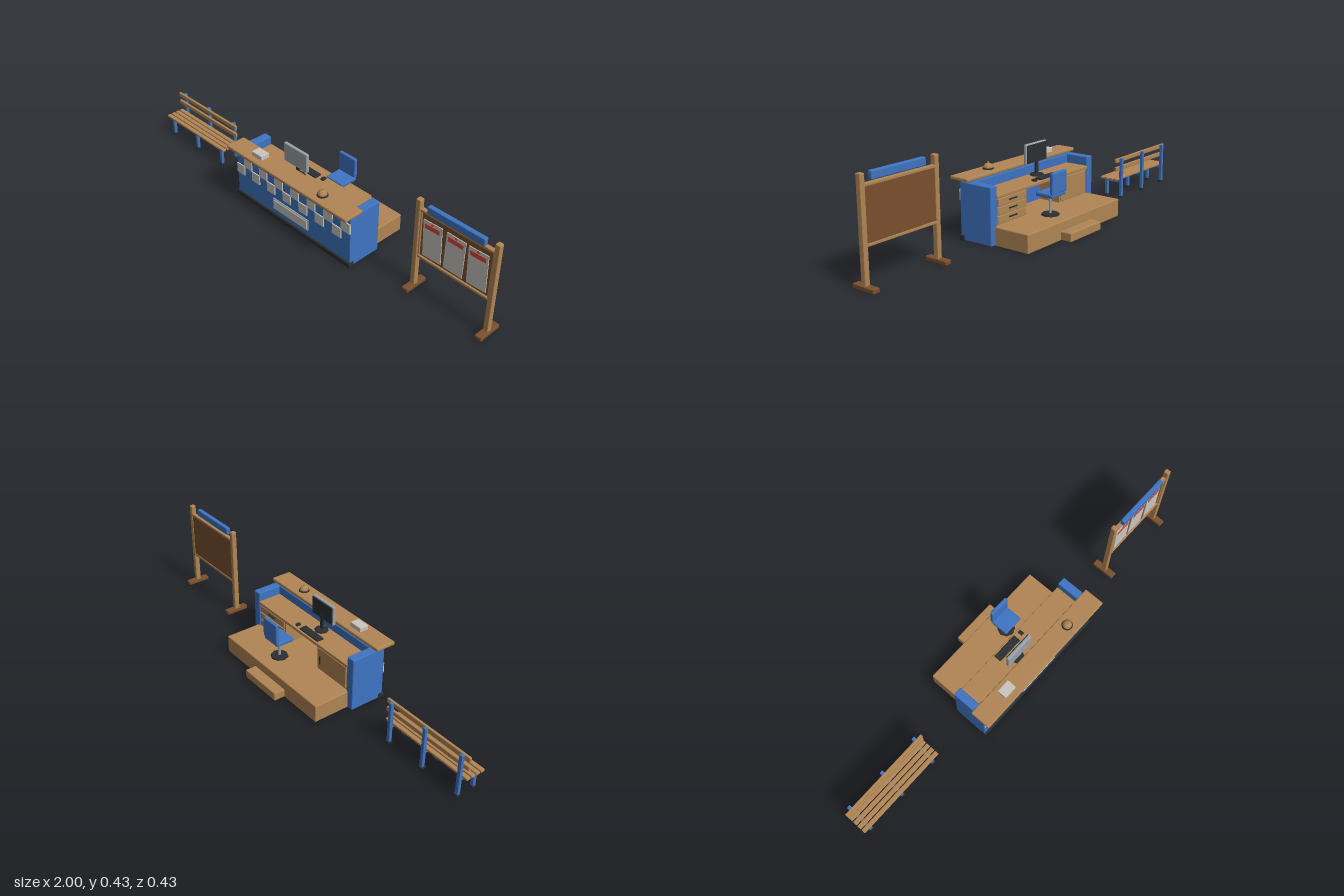
import * as THREE from 'three';
import { RoundedBoxGeometry } from 'three/addons/geometries/RoundedBoxGeometry.js';

const paint = (name, hex) => {
  const m = new THREE.MeshStandardMaterial({ color: hex });
  m.name = name;
  return m;
};

export function createModel() {
  const wood = paint('wood', 0xb08554);
  const darkWood = paint('dark wood', 0x7a4f2e);
  const blue = paint('blue', 0x3f74c2);
  const black = paint('black', 0x2b3033);
  const pale = paint('pale grey', 0xc9c6bf);
  const grey = paint('grey', 0x9ba2a8);
  const red = paint('red', 0xd04a3c);

  const model = new THREE.Group();
  model.name = 'receptionArea';
  const group = (name) => {
    const g = new THREE.Group();
    g.name = name;
    model.add(g);
    return g;
  };
  const put = (parent, name, geometry, material, x, y, z) => {
    const mesh = new THREE.Mesh(geometry, material);
    mesh.name = name;
    mesh.position.set(x, y, z);
    parent.add(mesh);
    return mesh;
  };
  // box with chamfered edges, given by its limits on each axis
  const block = (parent, name, material, [x0, x1], [y0, y1], [z0, z1], bevel = 0.003) => {
    const w = x1 - x0, h = y1 - y0, d = z1 - z0;
    const r = Math.min(bevel, Math.min(w, h, d) * 0.3);
    const geo = r > 0 ? new RoundedBoxGeometry(w, h, d, 1, r) : new THREE.BoxGeometry(w, h, d);
    if (r > 0) geo.computeVertexNormals();
    return put(parent, name, geo, material, (x0 + x1) / 2, (y0 + y1) / 2, (z0 + z1) / 2);
  };
  const disc = (parent, name, material, r0, r1, [y0, y1], x, z, sides) =>
    put(parent, name, new THREE.CylinderGeometry(r1, r0, y1 - y0, sides), material, x, (y0 + y1) / 2, z);

  // ---- counter ----
  const counter = group('counter');
  block(counter, 'frontPanel', blue, [-0.345, 0.367], [0.005, 0.256], [0.12, 0.172]);
  for (const x of [-0.345, 0.327])
    block(counter, 'sidePanel', blue, [x, x + 0.04], [0.005, 0.256], [0.006, 0.171], 0.004);
  block(counter, 'kickPlate', black, [-0.35, 0.372], [0.002, 0.028], [0.15, 0.18], 0.006);
  block(counter, 'counterTop', wood, [-0.36, 0.38], [0.26, 0.277], [0.118, 0.215], 0.005);
  block(counter, 'topSupport', blue, [-0.335, 0.357], [0.25, 0.262], [0.125, 0.168], 0);
  // two rows of checker tiles
  const pitch = 0.0507;
  for (let i = 0; i < 14; i++) {
    const x = -0.343 + i * pitch;
    const y = i % 2 ? 0.176 : 0.128;
    block(counter, 'checkerTile', pale, [x, x + pitch], [y, y + 0.048], [0.17, 0.177], 0);
  }
  block(counter, 'plaqueFrame', grey, [-0.101, 0.121], [0.052, 0.108], [0.171, 0.178], 0.002);
  block(counter, 'plaque', pale, [-0.096, 0.116], [0.057, 0.103], [0.174, 0.181], 0.002);

  // ---- platform and step ----
  const platform = group('platform');
  block(platform, 'floorPlatform', wood, [-0.315, 0.341], [0.003, 0.085], [-0.164, 0.15], 0.004);
  block(platform, 'step', wood, [-0.098, 0.121], [0.004, 0.043], [-0.215, -0.16], 0.004);

  // ---- desk behind the counter ----
  const desk = group('desk');
  block(desk, 'deskTop', wood, [-0.306, 0.328], [0.2, 0.215], [0.004, 0.122]);
  block(desk, 'drawerCabinet', wood, [0.13, 0.327], [0.085, 0.2], [0.012, 0.12], 0);
  block(desk, 'doorCabinet', wood, [-0.305, -0.1], [0.085, 0.2], [0.012, 0.12], 0);
  for (let i = 0; i < 3; i++) {
    const y = 0.09 + i * 0.037;
    block(desk, 'drawerFront', wood, [0.137, 0.32], [y, y + 0.033], [0.006, 0.014], 0.002);
    block(desk, 'drawerHandle', black, [0.203, 0.254], [y + 0.016, y + 0.021], [0.001, 0.007], 0);
  }
  block(desk, 'cabinetDoor', wood, [-0.297, -0.107], [0.09, 0.197], [0.006, 0.014], 0.002);
  block(desk, 'doorHandle', black, [-0.13, -0.124], [0.12, 0.16], [0.001, 0.007], 0);

  // ---- computer ----
  const computer = group('computer');
  disc(computer, 'monitorBase', black, 0.032, 0.03, [0.215, 0.222], -0.034, 0.085, 8);
  block(computer, 'monitorNeck', black, [-0.042, -0.026], [0.22, 0.3], [0.083, 0.092], 0);
  block(computer, 'monitorShell', grey, [-0.107, 0.036], [0.27, 0.361], [0.088, 0.103], 0.004);
  block(computer, 'screen', black, [-0.102, 0.031], [0.275, 0.356], [0.084, 0.09], 0.001);
  block(computer, 'keyboard', black, [-0.098, 0.029], [0.214, 0.222], [0.012, 0.047], 0.002);
  block(computer, 'mouse', black, [0.05, 0.066], [0.214, 0.224], [0.015, 0.038], 0.003);

  // ---- things on the counter ----
  const items = group('counterItems');
  block(items, 'paperStack', pale, [-0.222, -0.158], [0.276, 0.298], [0.142, 0.186], 0.002);
  disc(items, 'bellBase', black, 0.025, 0.023, [0.276, 0.283], 0.198, 0.165, 16);
  const dome = new THREE.SphereGeometry(0.021, 16, 6, 0, Math.PI * 2, 0, Math.PI / 2);
  put(items, 'bellDome', dome, wood, 0.198, 0.282, 0.165);
  disc(items, 'bellButton', wood, 0.003, 0.003, [0.3, 0.309], 0.198, 0.165, 8);

  // ---- office chair ----
  const chair = group('chair');
  disc(chair, 'chairBase', black, 0.04, 0.038, [0.085, 0.093], 0.069, -0.068, 8);
  disc(chair, 'chairPost', grey, 0.006, 0.006, [0.09, 0.175], 0.069, -0.068, 8);
  block(chair, 'chairSeat', blue, [0.02, 0.118], [0.172, 0.19], [-0.113, -0.026], 0.005);
  block(chair, 'chairBack', blue, [0.02, 0.118], [0.188, 0.283], [-0.118, -0.102], 0.005);

  // ---- slatted bench ----
  const bench = group('bench');
  for (const x of [-0.967, -0.777, -0.587]) {
    const w = [x - 0.008, x + 0.008];
    block(bench, 'rearPost', blue, w, [0.005, 0.198], [-0.009, 0.006], 0.002);
    block(bench, 'frontLeg', blue, w, [0.005, 0.09], [0.073, 0.088], 0.002);
    block(bench, 'seatBearer', blue, w, [0.077, 0.09], [0, 0.088], 0);
    for (const z of [-0.0015, 0.0805])
      block(bench, 'foot', black, [x - 0.011, x + 0.011], [0.001, 0.01], [z - 0.011, z + 0.011], 0.002);
  }
  for (const y of [0.136, 0.177])
    block(bench, 'backSlat', wood, [-1, -0.553], [y, y + 0.021], [0.005, 0.017], 0.003);
  for (let i = 0; i < 4; i++) {
    const z = 0.004 + i * 0.0245;
    block(bench, 'seatSlat', wood, [-1, -0.553], [0.089, 0.101], [z, z + 0.02], 0.003);
  }

  // ---- notice board ----
  const board = group('noticeBoard');
  for (const x of [0.618, 0.983]) {
    block(board, 'boardPost', wood, [x - 0.011, x + 0.011], [0.015, 0.434], [0.05, 0.074]);
    block(board, 'boardFoot', darkWood, [x - 0.016, x + 0.016], [0.002, 0.021], [0.005, 0.117], 0.004);
  }
  block(board, 'backPanel', darkWood, [0.625, 0.976], [0.165, 0.392], [0.053, 0.062], 0);
  for (const y of [0.163, 0.383])
    block(board, 'frameRail', wood, [0.625, 0.976], [y, y + 0.012], [0.051, 0.07], 0.002);
  for (const x of [0.628, 0.965])
    block(board, 'frameStile', wood, [x, x + 0.008], [0.17, 0.39], [0.055, 0.068], 0.002);
  block(board, 'headerSign', blue, [0.666, 0.933], [0.398, 0.432], [0.058, 0.079], 0.004);
  // three notices, each slightly askew, with a red heading band
  [[0.692, 0.04], [0.8, -0.02], [0.907, 0.035]].forEach(([x, tilt]) => {
    const notice = new THREE.Group();
    notice.name = 'notice';
    notice.position.set(x, 0.27, 0.0635);
    notice.rotation.z = tilt;
    board.add(notice);
    block(notice, 'sheet', pale, [-0.045, 0.045], [-0.085, 0.085], [-0.002, 0.002], 0);
    block(notice, 'headingBand', red, [-0.036, 0.036], [0.05, 0.07], [0.001, 0.004], 0);
    block(notice, 'pin', red, [-0.005, 0.005], [0.076, 0.084], [0.001, 0.005], 0);
  });

  return model;
}
